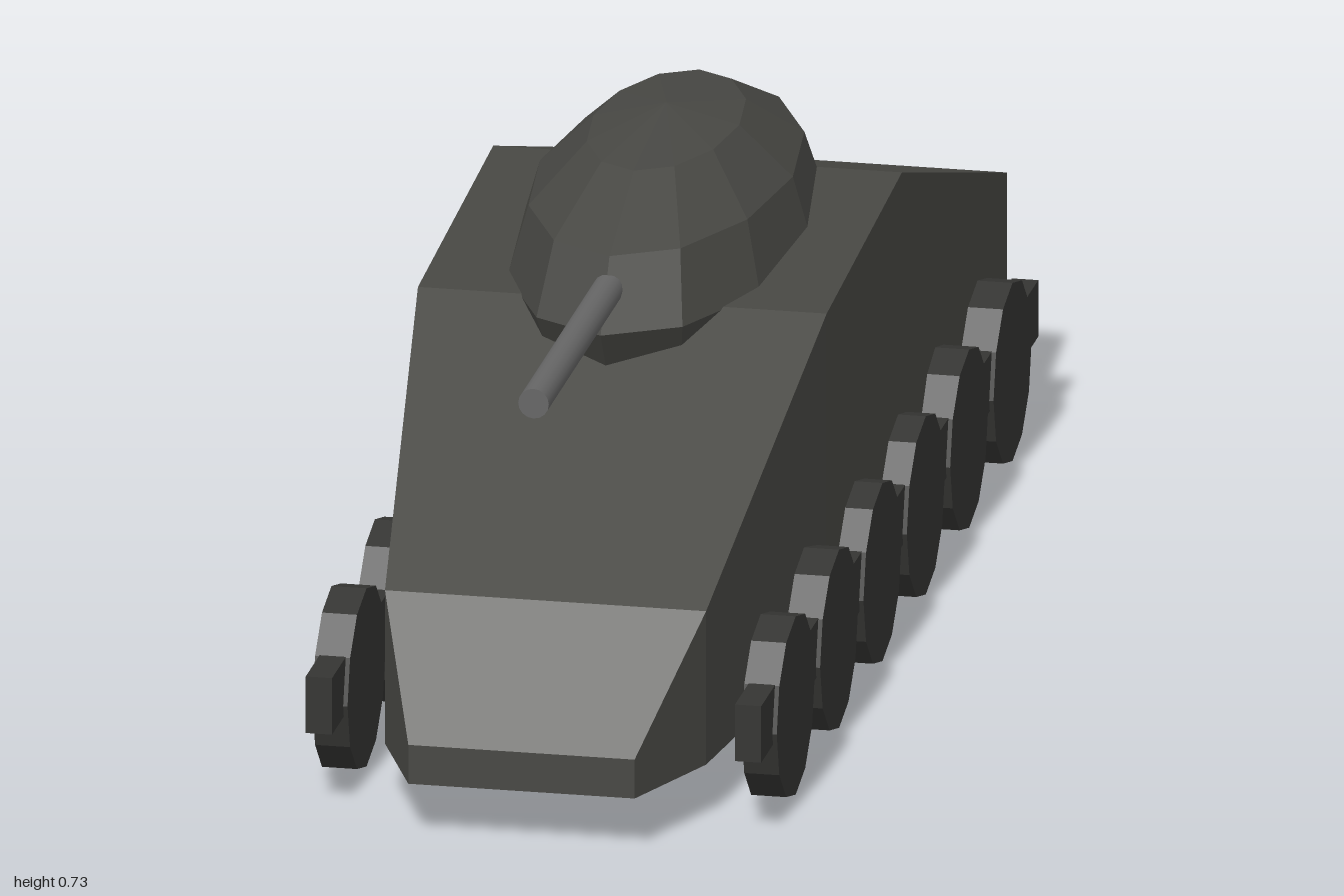
import * as THREE from 'three';

const paint = (color, flat = true) => new THREE.MeshStandardMaterial({ color, flatShading: flat });

// Skin through rectangular cross-sections [z, halfWidth, bottom, top], listed back to front
function loft(sections) {
  const pos = [], idx = [];
  for (const [z, w, b, t] of sections) pos.push(-w, b, z, w, b, z, w, t, z, -w, t, z);
  const last = (sections.length - 1) * 4;
  for (let s = 0; s < last; s += 4) {
    for (let k = 0; k < 4; k++) {
      const a = s + k, b = s + (k + 1) % 4;
      idx.push(a, b, b + 4, a, b + 4, a + 4);
    }
  }
  idx.push(0, 2, 1, 0, 3, 2, last, last + 1, last + 2, last, last + 2, last + 3);
  const indexed = new THREE.BufferGeometry();
  indexed.setAttribute('position', new THREE.Float32BufferAttribute(pos, 3));
  indexed.setIndex(idx);
  const g = indexed.toNonIndexed();
  g.computeVertexNormals();
  return g;
}

export function createModel() {
  const model = new THREE.Group();
  const hullMat = paint(0x474743), gearMat = paint(0x353533), gunMat = paint(0x666666, false);
  const add = (name, geometry, material, x = 0, y = 0, z = 0, parent = model) => {
    const mesh = new THREE.Mesh(geometry, material);
    mesh.name = name;
    mesh.position.set(x, y, z);
    parent.add(mesh);
    return mesh;
  };

  // Hull with sloped nose and tail
  add('hull', loft([
    [-1, 0.253, 0.11, 0.312],
    [-0.17, 0.28, 0.085, 0.586],
    [0.33, 0.28, 0.075, 0.55],
    [0.84, 0.22, 0.075, 0.292],
    [1, 0.155, 0.075, 0.13],
  ]), hullMat);

  // Faceted egg-shaped turret, partly sunk in the hull
  const turret = new THREE.SphereGeometry(1, 12, 6).scale(0.2, 0.187, 0.437);
  add('turret', turret, hullMat, 0, 0.547, 0.037);

  // Gun barrel
  const barrel = new THREE.CylinderGeometry(0.021, 0.021, 0.57, 16).rotateX(Math.PI / 2);
  add('gunBarrel', barrel, gunMat, 0, 0.597, 0.635);

  // Running gear on both sides: a beam with six twelve-sided wheels
  const wheel = new THREE.CylinderGeometry(0.126, 0.126, 0.048, 12).rotateZ(Math.PI / 2);
  const beam = new THREE.BoxGeometry(0.036, 0.08, 1.84);
  for (const side of [-1, 1]) {
    const gear = new THREE.Group();
    gear.name = side > 0 ? 'leftRunningGear' : 'rightRunningGear';
    add('beam', beam, gearMat, side * 0.294, 0.15, 0, gear);
    for (let i = 0; i < 6; i++) {
      add('wheel', wheel, gearMat, side * 0.294, 0.126, 0.72 - i * 0.288, gear);
    }
    model.add(gear);
  }
  return model;
}
